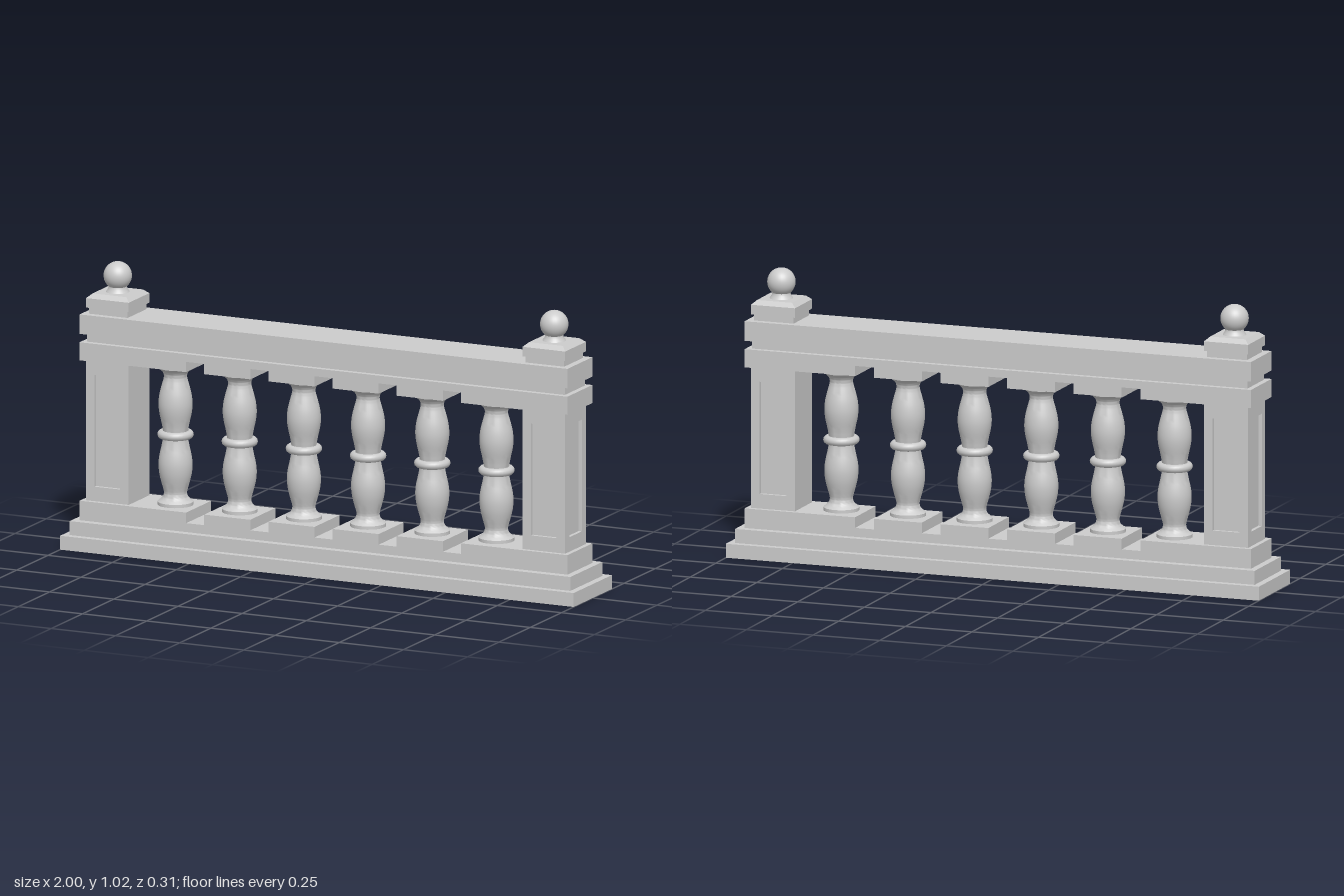
import * as THREE from 'three';
import { toCreasedNormals } from 'three/addons/utils/BufferGeometryUtils.js';

const material = new THREE.MeshStandardMaterial({ color: 0xcccccc });

function add(parent, name, geometry, x = 0, y = 0, z = 0) {
  const mesh = new THREE.Mesh(geometry, material);
  mesh.name = name;
  mesh.position.set(x, y, z);
  parent.add(mesh);
  return mesh;
}

// Box given by its half extents and its bottom and top heights
function slab(parent, name, hx, hz, y0, y1) {
  return add(parent, name, new THREE.BoxGeometry(2 * hx, y1 - y0, 2 * hz), 0, (y0 + y1) / 2, 0);
}

// Long rail whose inner edge is notched between the balusters
function notchedRail(parent, name, outerY, edgeY, notchY) {
  const points = [[-0.95, outerY], [-0.95, edgeY]];
  for (let i = -2; i <= 2; i++) {
    const l = i * 0.25 - 0.035, r = i * 0.25 + 0.035;
    points.push([l, edgeY], [l, notchY], [r, notchY], [r, edgeY]);
  }
  points.push([0.95, edgeY], [0.95, outerY]);
  const shape = new THREE.Shape(points.map(p => new THREE.Vector2(...p)));
  add(parent, name, new THREE.ExtrudeGeometry(shape, { depth: 0.2, bevelEnabled: false }), 0, 0, -0.1);
}

// Rectangular frame around a sunken panel
function panelFrame(width, depth) {
  const rect = (path, hw, y0, y1) => path.moveTo(-hw, y0).lineTo(hw, y0).lineTo(hw, y1).lineTo(-hw, y1).closePath();
  const shape = rect(new THREE.Shape(), width / 2, 0.17, 0.675);
  shape.holes.push(rect(new THREE.Path(), 0.05, 0.222, 0.624));
  return new THREE.ExtrudeGeometry(shape, { depth, bevelEnabled: false });
}

// Post with panels on front, back and outer side, topped by a cap and ball
function createPost(side) {
  const post = new THREE.Group();
  post.name = side > 0 ? 'leftPost' : 'rightPost';
  post.position.x = side * 0.85;
  const half = 0.083, d = 0.013;

  const core = slab(post, 'postCore', half - d / 2, half - d, 0.17, 0.675);
  core.position.x = -side * d / 2;
  add(post, 'frontPanelFrame', panelFrame(2 * half, d), 0, 0, half - d);
  add(post, 'backPanelFrame', panelFrame(2 * half, d), 0, 0, -half).name = 'backPanelFrame';
  const outer = add(post, 'sidePanelFrame', panelFrame(2 * (half - d), d), side * (half - d), 0, 0);
  outer.rotation.y = side * Math.PI / 2;

  slab(post, 'capNeck', 0.075, 0.075, 0.84, 0.863);
  slab(post, 'capSlab', 0.083, 0.083, 0.863, 0.897);
  // Square frustum for the chamfered cap top
  const chamfer = new THREE.CylinderGeometry(0.066 * Math.SQRT2, 0.083 * Math.SQRT2, 0.015, 4, 1);
  chamfer.rotateY(Math.PI / 4);
  add(post, 'capChamfer', toCreasedNormals(chamfer, 0.3), 0, 0.9045, 0);

  const neck = [[0.042, 0.911], [0.039, 0.916], [0.034, 0.923], [0.031, 0.932], [0.03, 0.945]];
  add(post, 'finialNeck', new THREE.LatheGeometry(neck.map(p => new THREE.Vector2(...p)), 32));
  add(post, 'finialBall', new THREE.SphereGeometry(0.05, 32, 24), 0, 0.97, 0);
  return post;
}

// Turned baluster: a half profile mirrored about the middle ring
function balusterGeometry() {
  const mid = 0.4225;
  const body = new THREE.SplineCurve([
    [0.044, 0], [0.045, 0.018], [0.05, 0.045], [0.057, 0.077], [0.06, 0.108],
    [0.057, 0.142], [0.049, 0.175], [0.042, 0.2], [0.041, 0.213], [0.046, 0.226], [0.058, 0.237],
  ].map(p => new THREE.Vector2(...p))).getPoints(30);
  const half = [...body, new THREE.Vector2(0.063, 0.241), new THREE.Vector2(0.063, 0.2525)];
  const lower = half.slice(1).reverse().map(p => new THREE.Vector2(p.x, mid - p.y));
  const upper = half.map(p => new THREE.Vector2(p.x, mid + p.y));
  return toCreasedNormals(new THREE.LatheGeometry([...lower, ...upper], 32), 0.6);
}

export function createModel() {
  const model = new THREE.Group();
  model.name = 'balustrade';

  // Stepped plinth and bottom rail
  slab(model, 'plinthLower', 1, 0.153, 0, 0.05);
  slab(model, 'plinthUpper', 0.975, 0.128, 0.05, 0.1);
  notchedRail(model, 'bottomRail', 0.1, 0.17, 0.132);

  // Handrail in three layers
  notchedRail(model, 'topRail', 0.74, 0.675, 0.712);
  slab(model, 'handrailNeck', 0.93, 0.08, 0.74, 0.77);
  slab(model, 'handrail', 0.95, 0.1, 0.77, 0.84);

  // Balusters with a rounded ring at mid height
  const turned = balusterGeometry();
  const ring = new THREE.TorusGeometry(0.049, 0.015, 12, 32).rotateX(Math.PI / 2);
  for (let i = 0; i < 6; i++) {
    const baluster = new THREE.Group();
    baluster.name = 'baluster' + (i + 1);
    baluster.position.x = (i - 2.5) * 0.25;
    add(baluster, 'balusterBody', turned);
    add(baluster, 'balusterRing', ring, 0, 0.4225, 0);
    model.add(baluster);
  }

  for (const side of [-1, 1]) model.add(createPost(side));
  return model;
}
